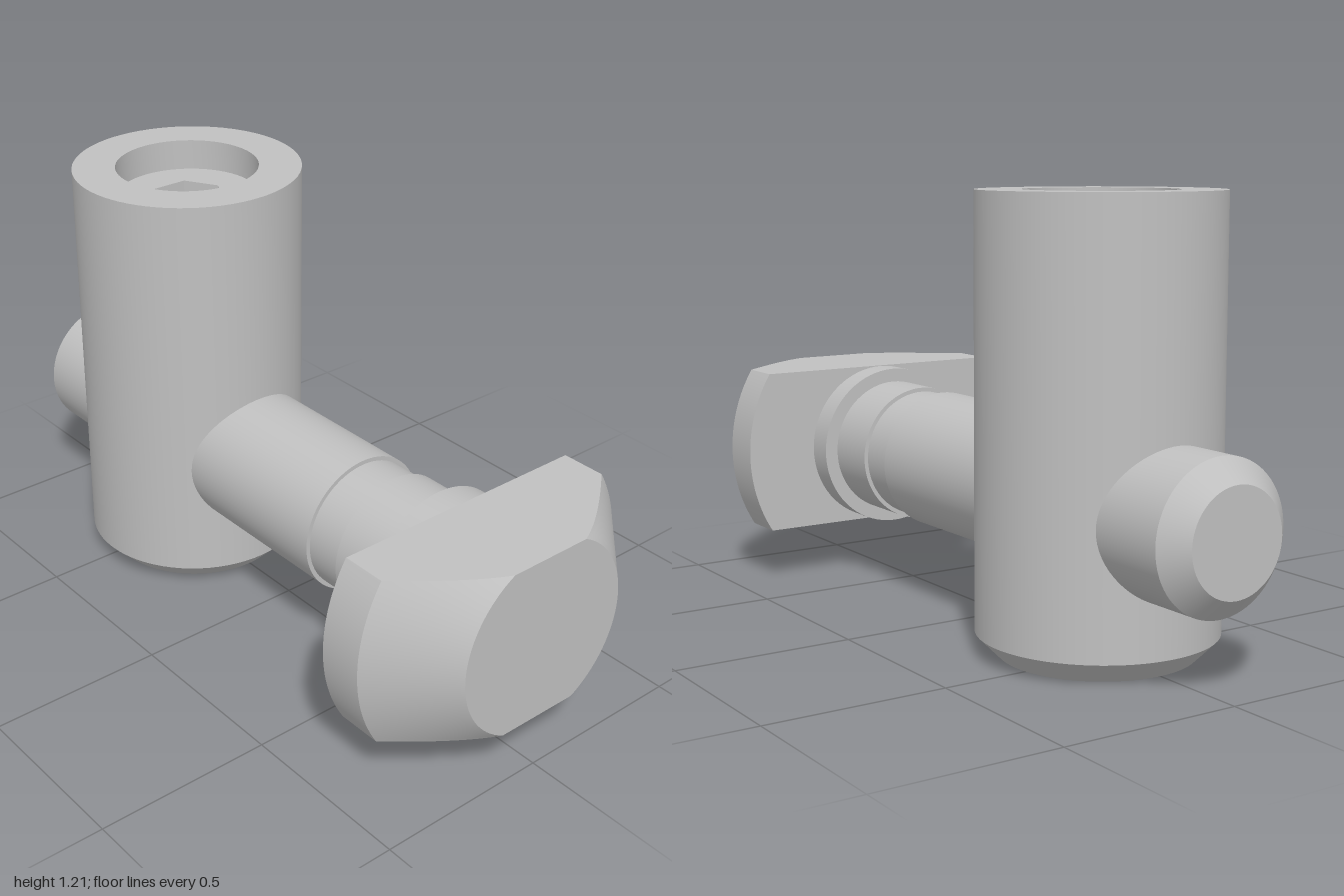
import * as THREE from 'three';
import { toCreasedNormals } from 'three/addons/utils/BufferGeometryUtils.js';

const AXIS_Y = 0.398, BODY_Z = -0.455, HALF = 0.242;

// Turned part from a [radius, height] profile, with sharp edges kept
function turned(profile) {
  const pts = profile.map(([r, y]) => new THREE.Vector2(r, y));
  return toCreasedNormals(new THREE.LatheGeometry(pts, 72), 0.4);
}

// Round head trimmed by two flats: rings of two arcs, lofted along z
function trimmedHead(sections) {
  const N = 32, count = 2 * (N + 1), pos = [], index = [];
  for (const [r, z] of sections) {
    const a = Math.asin(HALF / r);
    for (const start of [0, Math.PI])
      for (let i = 0; i <= N; i++) {
        const t = start - a + (2 * a * i) / N;
        pos.push(r * Math.cos(t), r * Math.sin(t), z);
      }
  }
  const last = (sections.length - 1) * count;
  for (let j = 0; j < last; j += count)
    for (let i = 0; i < count; i++) {
      const a = j + i, b = j + (i + 1) % count;
      index.push(a, b, b + count, a, b + count, a + count);
    }
  for (let i = 1; i < count - 1; i++) {
    index.push(0, i + 1, i);
    index.push(last, last + i, last + i + 1);
  }
  const g = new THREE.BufferGeometry();
  g.setAttribute('position', new THREE.Float32BufferAttribute(pos, 3));
  g.setIndex(index);
  return toCreasedNormals(g, 0.35);
}

export function createModel() {
  const steel = new THREE.MeshStandardMaterial({ color: 0xc0c0c0 });
  steel.name = 'steel grey';
  const group = new THREE.Group();
  group.name = 'crossBolt';
  const add = (name, geometry, x, y, z) => {
    const mesh = new THREE.Mesh(geometry, steel);
    mesh.name = name;
    mesh.position.set(x, y, z);
    group.add(mesh);
    return mesh;
  };

  // Upright barrel with chamfered foot and a bore in the top
  add('barrel', turned([
    [0, 0], [0.265, 0], [0.325, 0.06], [0.325, 1.213], [0.203, 1.213], [0.203, 1.1],
  ]), 0, 0, BODY_Z);

  // Set screw with a hexagonal socket, sunk in the bore
  const face = new THREE.Shape().absarc(0, 0, 0.204, 0, Math.PI * 2);
  const hex = new THREE.Path();
  hex.setFromPoints(Array.from({ length: 7 }, (_, i) => new THREE.Vector2(
    0.107 * Math.cos(-i * Math.PI / 3), 0.107 * Math.sin(-i * Math.PI / 3))));
  face.holes.push(hex);
  const screw = new THREE.ExtrudeGeometry(face, { depth: 0.14, bevelEnabled: false, curveSegments: 36 });
  screw.rotateX(-Math.PI / 2);
  add('setScrew', screw, 0, 0.985, BODY_Z);
  add('socketFloor', new THREE.CircleGeometry(0.12, 6).rotateX(-Math.PI / 2), 0, 0.987, BODY_Z);

  // Cross shaft with chamfered tip, groove and collar
  add('shaft', turned([
    [0, -1], [0.14, -1], [0.2, -0.94], [0.2, 0.32], [0.188, 0.32], [0.188, 0.44],
    [0.2, 0.44], [0.2, 0.61], [0.24, 0.61], [0.24, 0.7],
  ]).rotateX(Math.PI / 2), 0, AXIS_Y, 0);

  // Hammer head: straight rim, then a cone down to the front face
  const sections = [[0.455, 0.69]];
  for (let i = 0; i <= 12; i++)
    sections.push([0.455 - 0.183 * i / 12, 0.817 + 0.183 * i / 12]);
  add('head', trimmedHead(sections), 0, AXIS_Y, 0);

  return group;
}
